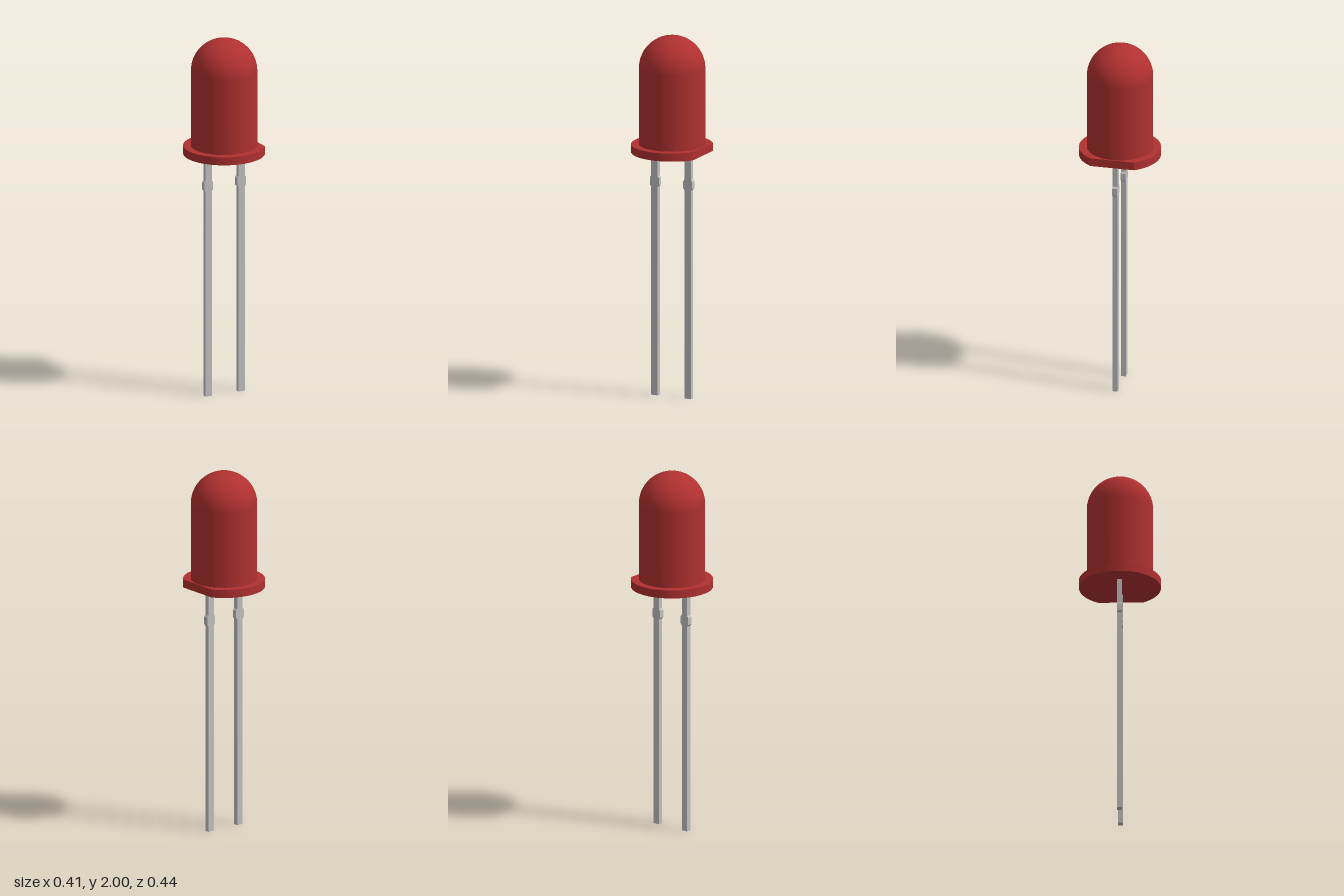
import * as THREE from 'three';
import { toCreasedNormals } from 'three/addons/utils/BufferGeometryUtils.js';

const CX = 0.018;        // axis of the lens
const BASE = 1.355;      // underside of the flange
const FLANGE_TOP = 1.4;

export function createModel() {
  const red = new THREE.MeshStandardMaterial({ color: 0xb03030 });
  red.name = 'red plastic';
  const metal = new THREE.MeshStandardMaterial({ color: 0xc2c2c2 });
  metal.name = 'lead metal';

  const model = new THREE.Group();
  model.name = 'lightDiode';
  const add = (name, geometry, material, x, y) => {
    const mesh = new THREE.Mesh(geometry, material);
    mesh.name = name;
    mesh.position.set(x, y, 0);
    model.add(mesh);
  };

  // Lens: straight barrel, then a hemispherical dome
  const r = 0.179;
  const domeY = 2 - r;
  const profile = [new THREE.Vector2(r, FLANGE_TOP)];
  for (let i = 0; i <= 16; i++) {
    const a = (i / 16) * Math.PI / 2;
    profile.push(new THREE.Vector2(i === 16 ? 0 : r * Math.cos(a), domeY + r * Math.sin(a)));
  }
  add('lens', new THREE.LatheGeometry(profile, 64), red, CX, 0);

  // Flange: disc with one side cut flat
  const flangeR = 0.221;
  const cut = Math.acos(0.185 / flangeR);
  const disc = new THREE.Shape();
  disc.absarc(0, 0, flangeR, cut, Math.PI * 2 - cut, false);
  disc.closePath();
  const flange = new THREE.ExtrudeGeometry(disc, {
    depth: FLANGE_TOP - BASE, bevelEnabled: false, curveSegments: 56,
  });
  flange.rotateX(-Math.PI / 2);
  add('flange', toCreasedNormals(flange, 0.4), red, CX, BASE);

  // Leads: flat strips with a small chamfered stop near the top
  const w = 0.019, stop = 0.027, depth = 0.027;
  const side = [[w, 0], [w, 1.155], [stop, 1.165], [stop, 1.205], [w, 1.215], [w, BASE]];
  const outline = [...side, ...side.map(([x, y]) => [-x, y]).reverse()];
  const strip = new THREE.Shape(outline.map(([x, y]) => new THREE.Vector2(x, y)));
  const lead = new THREE.ExtrudeGeometry(strip, { depth, bevelEnabled: false });
  lead.translate(0, 0, -depth / 2);
  add('rightLead', lead, metal, CX - 0.1, 0);
  add('leftLead', lead, metal, CX + 0.1, 0);

  return model;
}
